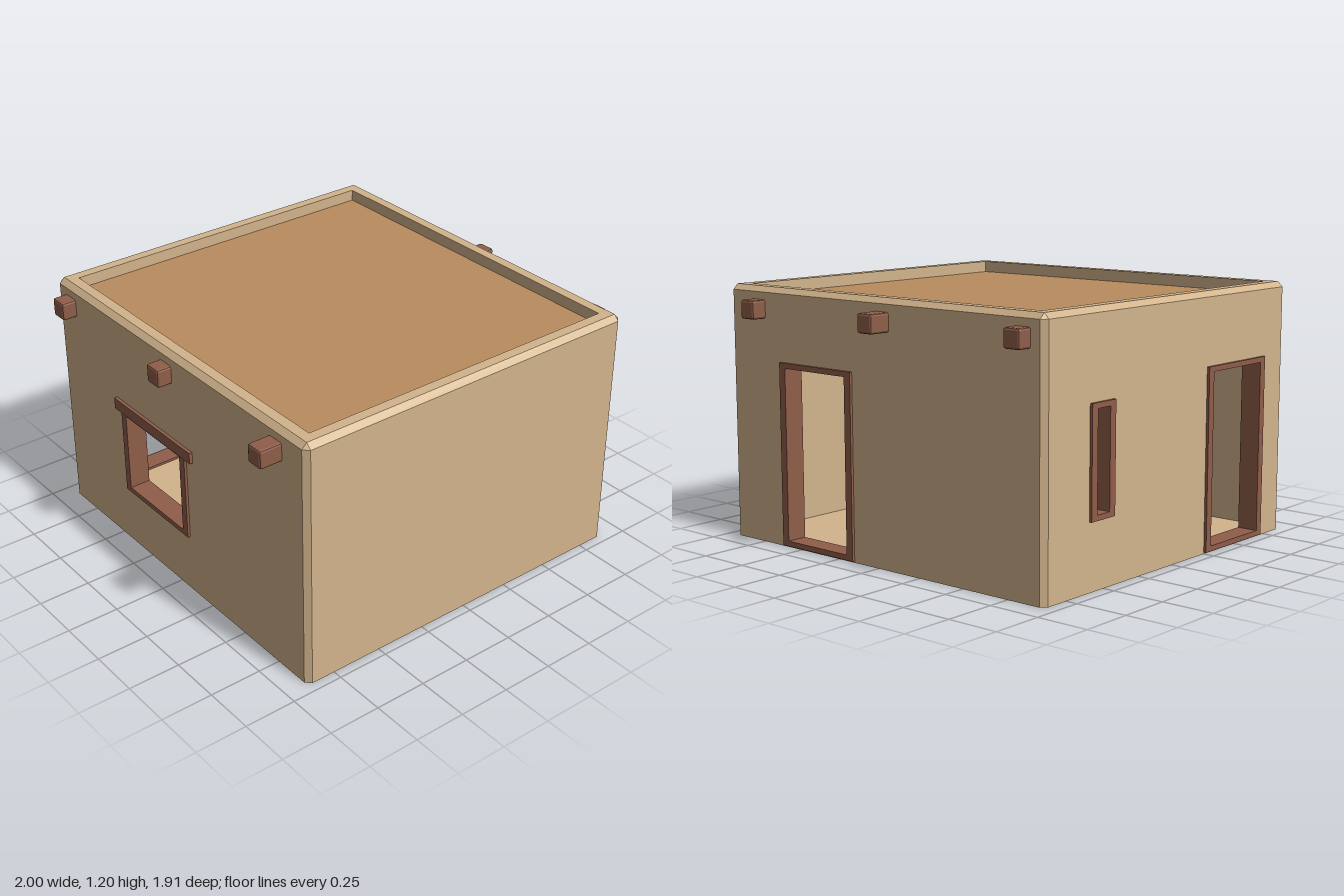
import * as THREE from 'three';
import { RoundedBoxGeometry } from 'three/addons/geometries/RoundedBoxGeometry.js';

const HX = 0.893, HZ = 0.95;        // half size of the house
const T = 0.075, C = 0.025;         // wall thickness, edge chamfer
const EAVE = 1.175, TOP = 1.2, ROOF = 1.145, CEILING = 1.05;

const mat = (color) => new THREE.MeshStandardMaterial({ color, flatShading: true });
const plaster = mat(0xd2b48c), clay = mat(0xb98c5f), wood = mat(0x8f5d49);

function add(parent, name, geometry, material, x = 0, y = 0, z = 0) {
  const mesh = new THREE.Mesh(geometry, material);
  mesh.name = name;
  mesh.position.set(x, y, z);
  parent.add(mesh);
  return mesh;
}

// Rectangle path, used for both outlines and holes
function rect(PathType, u0, u1, y0, y1) {
  return new PathType([[u0, y0], [u1, y0], [u1, y1], [u0, y1]].map(([x, y]) => new THREE.Vector2(x, y)));
}

const extrude = (shape, depth) => new THREE.ExtrudeGeometry(shape, { depth, bevelEnabled: false });

// Rectangular loop with cut corners at height y
function loop(hx, hz, c, y) {
  return [[hx, hz - c], [hx, c - hz], [hx - c, -hz], [c - hx, -hz],
    [-hx, c - hz], [-hx, hz - c], [c - hx, hz], [hx - c, hz]].map(([x, z]) => [x, y, z]);
}

// Skin between successive loops
function loft(loops) {
  const pos = [];
  for (let i = 0; i + 1 < loops.length; i++) {
    const a = loops[i], b = loops[i + 1];
    for (let j = 0; j < a.length; j++) {
      const k = (j + 1) % a.length;
      pos.push(...a[j], ...a[k], ...b[k], ...a[j], ...b[k], ...b[j]);
    }
  }
  const g = new THREE.BufferGeometry();
  g.setAttribute('position', new THREE.Float32BufferAttribute(pos, 3));
  g.computeVertexNormals();
  return g;
}

// One wall with its openings; local +z points outward
function wall(parent, name, angle, halfLength, distance, openings) {
  const group = new THREE.Group();
  group.name = name;
  group.rotation.y = angle;
  const panel = rect(THREE.Shape, T - halfLength, halfLength - T, 0, EAVE);
  for (const { part, u0, u1, y0, y1, lintel } of openings) {
    panel.holes.push(rect(THREE.Path, u0 + 0.01, u1 - 0.01, y0 + 0.01, y1 - 0.01));
    // Frame lines the whole opening and stands proud on both faces
    const frame = rect(THREE.Shape, u0, u1, y0, y1);
    frame.holes.push(rect(THREE.Path, u0 + 0.038, u1 - 0.038, y0 + 0.025, y1 - 0.025));
    add(group, part, extrude(frame, T + 0.026), wood, 0, 0, distance - T - 0.013);
    if (lintel) {
      add(group, 'windowLintel', new THREE.BoxGeometry(u1 - u0 + 0.1, 0.055, T + 0.032),
        wood, (u0 + u1) / 2, y1 + 0.0075, distance - T / 2);
    }
  }
  add(group, name + 'Panel', extrude(panel, T), plaster, 0, 0, distance - T);
  parent.add(group);
}

export function createModel() {
  const model = new THREE.Group();
  model.name = 'adobeHouse';
  const house = new THREE.Group();
  house.name = 'house';
  house.position.z = 0.005;
  model.add(house);

  // Walls
  wall(house, 'frontWall', 0, HX, HZ, []);
  wall(house, 'leftWall', Math.PI / 2, HZ, HX, [
    { part: 'sideDoorFrame', u0: -0.605, u1: -0.145, y0: 0.007, y1: 0.862 }]);
  wall(house, 'backWall', Math.PI, HX, HZ, [
    { part: 'backDoorFrame', u0: 0.25, u1: 0.71, y0: 0.007, y1: 0.862 },
    { part: 'narrowWindowFrame', u0: -0.6, u1: -0.44, y0: 0.305, y1: 0.805 }]);
  wall(house, 'rightWall', -Math.PI / 2, HZ, HX, [
    { part: 'sideWindowFrame', u0: -0.425, u1: 0.085, y0: 0.295, y1: 0.735, lintel: true }]);

  // Chamfered corner posts
  const corner = new THREE.Shape([[0, 0], [T, 0], [T, T - C], [T - C, T], [0, T]]
    .map(([x, y]) => new THREE.Vector2(x, y)));
  const postGeometry = extrude(corner, EAVE).rotateX(-Math.PI / 2);
  [[1, -1], [-1, -1], [-1, 1], [1, 1]].forEach(([sx, sz], i) => {
    const post = add(house, 'cornerPost', postGeometry, plaster, sx * (HX - T), 0, sz * (HZ - T));
    post.rotation.y = i * Math.PI / 2;
  });

  // Parapet rim: outer bevel, flat top, inner face
  add(house, 'parapet', loft([
    loop(HX, HZ, C, EAVE), loop(HX - C, HZ - C, 0, TOP),
    loop(HX - T, HZ - T, 0, TOP), loop(HX - T, HZ - T, 0, CEILING)]), plaster);

  // Floor, ceiling and roof deck
  const slab = (name, y0, y1, material) => add(house, name,
    new THREE.BoxGeometry(2 * (HX - T), y1 - y0, 2 * (HZ - T)), material, 0, (y0 + y1) / 2, 0);
  slab('floor', 0, 0.02, plaster);
  slab('ceiling', CEILING, ROOF - 0.015, plaster);
  slab('roofDeck', ROOF - 0.015, ROOF, clay);

  // Roof beams poking out on both sides: z, right end, left end
  for (const [z, x0, x1] of [[-0.828, -0.963, 0.963], [-0.037, -0.963, 0.998], [0.755, -1, 0.965]]) {
    add(model, 'roofBeam', new RoundedBoxGeometry(x1 - x0, 0.087, 0.087, 1, 0.01),
      wood, (x0 + x1) / 2, 1.097, z);
  }
  return model;
}
